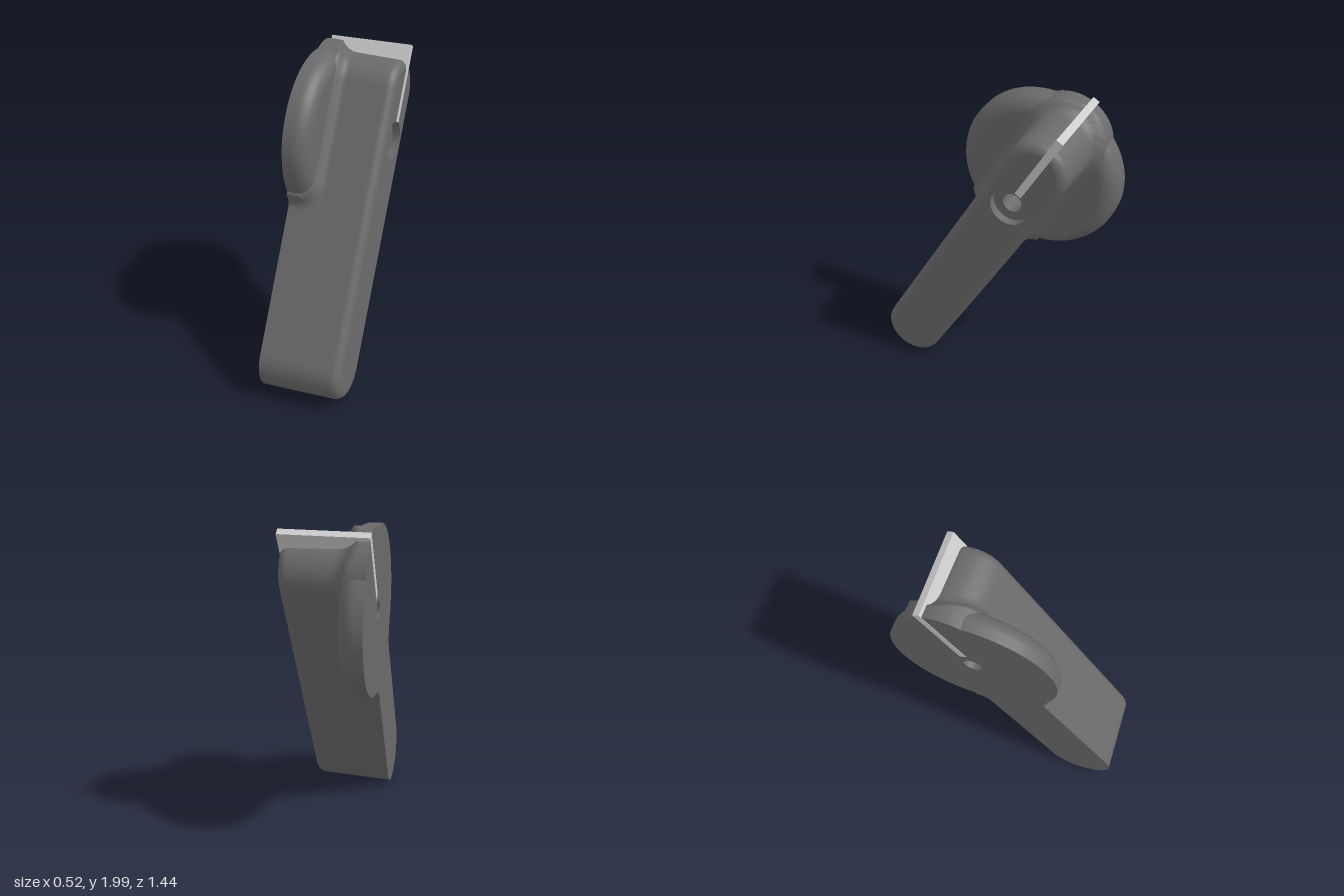
import * as THREE from 'three';

// Working frame: origin on the hub axis, Y along the arm, Z through the thickness.
const BACK = -0.26, FACE = 0.26;
const HALF_WIDTH = 0.208, TOP_CENTRE = 0.302, LOW_CENTRE = -1.45;
const DISC_R = 0.51, DISC_TOP = -0.105, DISC_ROUND = 0.1;
const BORE = 0.06, COUNTERBORE = 0.118, BORE_DEPTH = 0.05;
const FILLET = 0.06, EDGE = 0.055;

const dark = new THREE.MeshStandardMaterial({ color: 0x6a6a6a, side: THREE.DoubleSide });
const light = new THREE.MeshStandardMaterial({ color: 0xcccccc });

function part(name, geometry, material = dark) {
  const mesh = new THREE.Mesh(geometry, material);
  mesh.name = name;
  return mesh;
}

// Centre-line points of the long, round-ended arm, each with its outward direction
function armPath() {
  const path = [];
  const arc = 24, side = 90;
  for (const [cy, start, sx] of [[TOP_CENTRE, 0, -1], [LOW_CENTRE, Math.PI, 1]]) {
    for (let i = 0; i <= arc; i++) {
      const a = start + Math.PI * i / arc;
      path.push({ cy, nx: Math.cos(a), ny: Math.sin(a) });
    }
    const other = cy === TOP_CENTRE ? LOW_CENTRE : TOP_CENTRE;
    for (let i = 1; i < side; i++) {
      path.push({ cy: cy + (other - cy) * i / side, nx: sx, ny: 0 });
    }
  }
  return path;
}

// Distance from a point to the rounded disc
function discGap(r, z) {
  const a = r - (DISC_R - DISC_ROUND), b = z - (DISC_TOP - DISC_ROUND);
  return Math.hypot(Math.max(a, 0), Math.max(b, 0)) + Math.min(Math.max(a, b), 0) - DISC_ROUND;
}

// Arm outline at one depth: drafted sides that flare into the disc with a round fillet
function armRing(z, inset) {
  const radius = HALF_WIDTH - 0.02 * (z - BACK) / (FACE - BACK) - inset;
  return armPath().map(({ cy, nx, ny }) => {
    const x = nx * radius, y = cy + ny * radius;
    const g = THREE.MathUtils.clamp(discGap(Math.hypot(x, y), z), 0, FILLET);
    const flare = FILLET - Math.sqrt(FILLET ** 2 - (FILLET - g) ** 2);
    return new THREE.Vector2(x + nx * flare, y + ny * flare);
  });
}

function flatFace(points, z, hole) {
  const shape = new THREE.Shape(points);
  shape.holes.push(new THREE.Path().absarc(0, 0, hole, 0, Math.PI * 2, true));
  return new THREE.ShapeGeometry(shape, 48).translate(0, 0, z);
}

// Skin joining the arm outlines from back to face
function armWall(rings) {
  const n = rings[0].points.length, position = [], index = [];
  rings.forEach(({ z, points }, k) => points.forEach((p, i) => {
    position.push(p.x, p.y, z);
    if (k === 0) return;
    const j = (i + 1) % n, a = (k - 1) * n, b = k * n;
    index.push(a + i, a + j, b + j, a + i, b + j, b + i);
  }));
  const geometry = new THREE.BufferGeometry();
  geometry.setAttribute('position', new THREE.Float32BufferAttribute(position, 3));
  geometry.setIndex(index);
  geometry.computeVertexNormals();
  return geometry;
}

// Turned surface about the hub axis
function turned(points) {
  const profile = points.map(([r, z]) => new THREE.Vector2(r, z));
  return new THREE.LatheGeometry(profile, 96).rotateX(Math.PI / 2);
}

export function createModel() {
  const knob = new THREE.Group();
  knob.name = 'knob';

  // Arm: depth levels, finishing with the rounded front edge
  const levels = [];
  for (let i = 0; i <= 14; i++) levels.push([BACK + 0.22 * i / 14, 0]);
  levels.push([0.08, 0]);
  for (let i = 0; i <= 8; i++) {
    const a = Math.PI / 2 * i / 8;
    levels.push([FACE - EDGE * (1 - Math.sin(a)), EDGE * (1 - Math.cos(a))]);
  }
  const rings = levels.map(([z, inset]) => ({ z, points: armRing(z, inset) }));
  knob.add(part('armSides', armWall(rings)));
  knob.add(part('armFace', flatFace(rings.at(-1).points, FACE, COUNTERBORE)));
  knob.add(part('armBack', flatFace(rings[0].points, BACK, BORE)));

  // Disc with its rounded shoulder and flat back
  const disc = [[DISC_R, BACK]];
  for (let i = 0; i <= 12; i++) {
    const a = Math.PI / 2 * i / 12;
    disc.push([DISC_R - DISC_ROUND * (1 - Math.cos(a)), DISC_TOP - DISC_ROUND * (1 - Math.sin(a))]);
  }
  disc.push([BORE, DISC_TOP]);
  // the turned profile's axis runs toward the face
  knob.add(part('disc', turned(disc)));
  knob.add(part('discBack', new THREE.RingGeometry(BORE, DISC_R, 96).rotateY(Math.PI).translate(0, 0, BACK)));

  // Stepped screw hole
  const ledge = FACE - BORE_DEPTH;
  knob.add(part('shaftBore', turned([[BORE, ledge], [BORE, BACK]])));
  knob.add(part('boreLedge', new THREE.RingGeometry(BORE, COUNTERBORE, 48).translate(0, 0, ledge)));
  knob.add(part('counterbore', turned([[COUNTERBORE, FACE], [COUNTERBORE, ledge]])));

  // Pointer plate set through the arm
  const plate = new THREE.BoxGeometry(0.045, 0.477, FACE - BACK + 0.004).translate(0, 0.3525, 0);
  knob.add(part('pointerPlate', plate, light));

  // Tilt the arm and stand it up with the face toward the left side
  const tilt = Math.PI / 6, c = Math.cos(tilt), s = Math.sin(tilt);
  knob.quaternion.setFromRotationMatrix(new THREE.Matrix4().makeBasis(
    new THREE.Vector3(0, -s, -c), new THREE.Vector3(0, c, -s), new THREE.Vector3(1, 0, 0)));
  knob.position.set(0, 1.478, -0.21);

  const model = new THREE.Group();
  model.name = 'pointerKnob';
  model.add(knob);
  return model;
}
